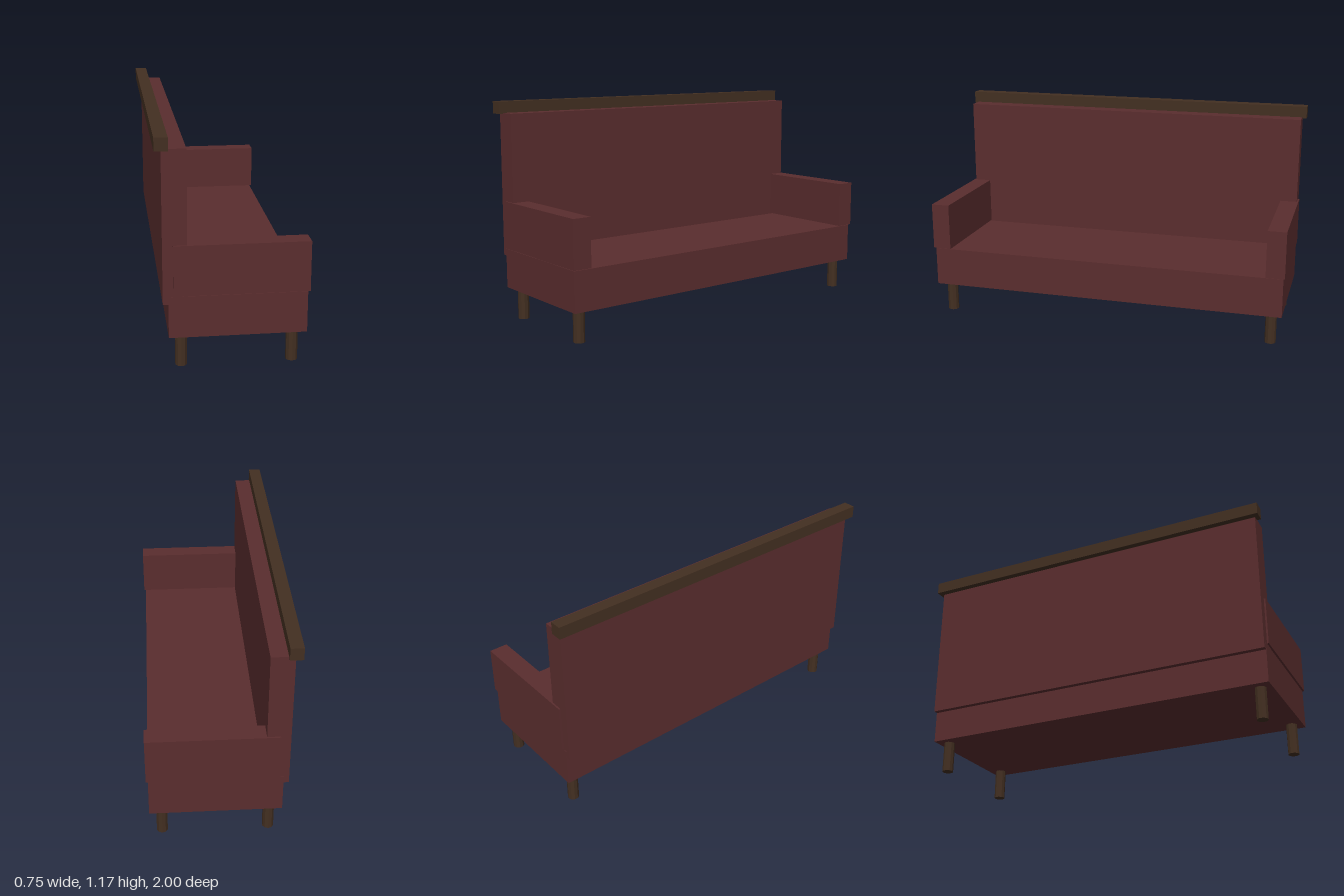
import * as THREE from 'three';

export function createModel() {
  const model = new THREE.Group();
  model.name = 'bench';

  const upholstery = new THREE.MeshStandardMaterial({ color: 0x5a2d2e });
  upholstery.name = 'dark red upholstery';
  const wood = new THREE.MeshStandardMaterial({ color: 0x432f21, flatShading: true });
  wood.name = 'dark wood';

  // Box given by its lower and upper limits on each axis
  function addBox(name, material, [x0, x1], [y0, y1], [z0, z1]) {
    const mesh = new THREE.Mesh(new THREE.BoxGeometry(x1 - x0, y1 - y0, z1 - z0), material);
    mesh.position.set((x0 + x1) / 2, (y0 + y1) / 2, (z0 + z1) / 2);
    mesh.name = name;
    model.add(mesh);
  }

  addBox('seat', upholstery, [-0.315, 0.364], [0.168, 0.38], [-0.978, 0.978]);
  addBox('backrest', upholstery, [-0.342, -0.223], [0.342, 1.107], [-0.977, 0.977]);
  addBox('topRail', wood, [-0.375, -0.309], [1.102, 1.167], [-1, 1]);

  // Armrests, slightly above the seat
  addBox('leftArmrest', upholstery, [-0.291, 0.374], [0.385, 0.639], [0.886, 0.986]);
  addBox('rightArmrest', upholstery, [-0.291, 0.374], [0.385, 0.639], [-0.986, -0.886]);

  // Four faceted legs
  const legGeometry = new THREE.CylinderGeometry(0.03, 0.03, 0.17, 10);
  for (const x of [-0.252, 0.3]) {
    for (const z of [-0.917, 0.917]) {
      const leg = new THREE.Mesh(legGeometry, wood);
      leg.position.set(x, 0.085, z);
      leg.name = (x > 0 ? 'front' : 'back') + 'Leg';
      model.add(leg);
    }
  }

  return model;
}
